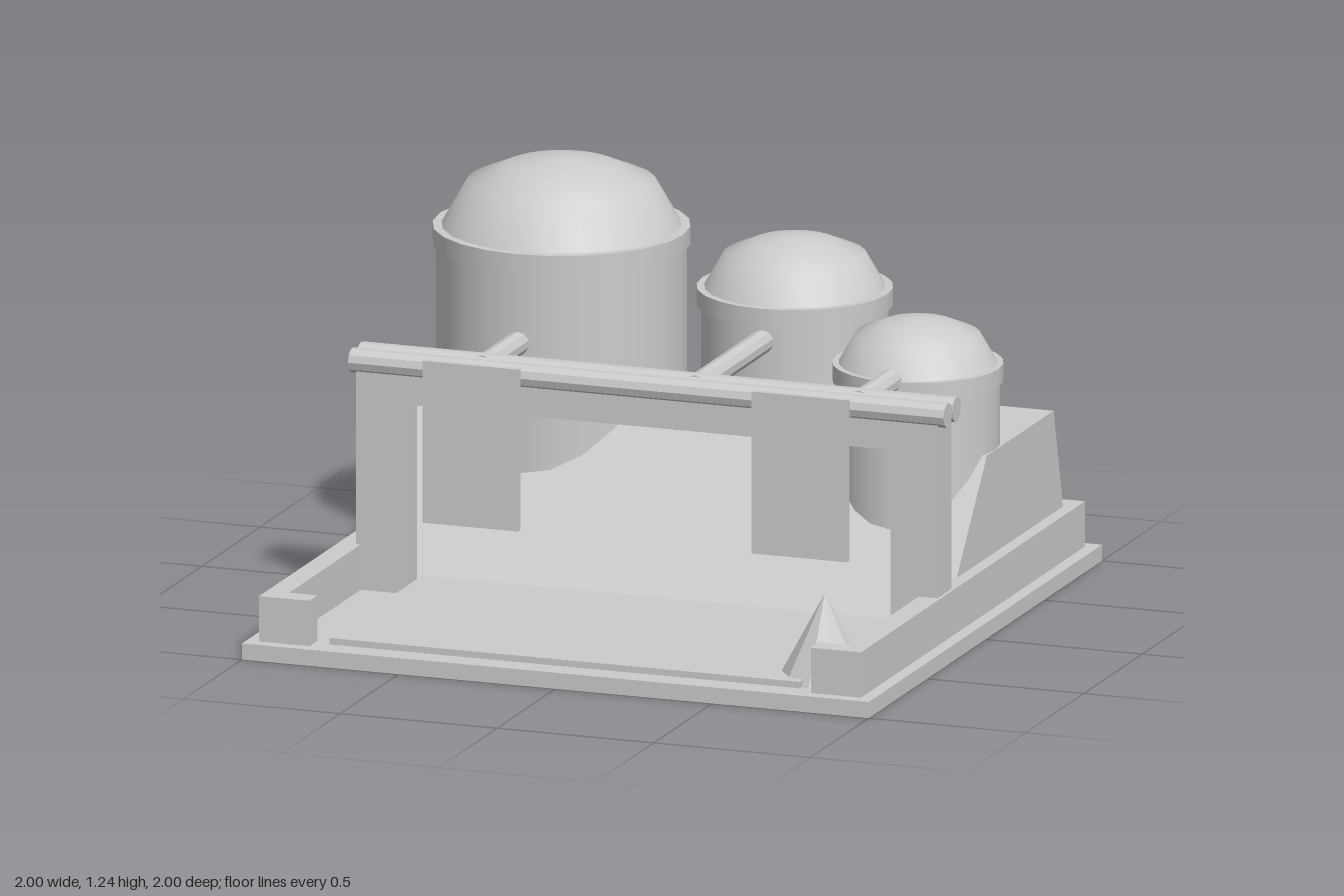
import * as THREE from 'three';

const concrete = new THREE.MeshStandardMaterial({ color: 0xcccccc });
concrete.name = 'pale concrete';
const concreteFlat = concrete; // faceted parts get their facets from split normals

function add(parent, name, geometry, x = 0, y = 0, z = 0) {
  const mesh = new THREE.Mesh(geometry, concrete);
  mesh.name = name;
  mesh.position.set(x, y, z);
  parent.add(mesh);
  return mesh;
}

// Box given by its limits
function block(parent, name, x0, x1, y0, y1, z0, z1) {
  return add(parent, name, new THREE.BoxGeometry(x1 - x0, y1 - y0, z1 - z0),
    (x0 + x1) / 2, (y0 + y1) / 2, (z0 + z1) / 2);
}

function extrude(points, depth) {
  const shape = new THREE.Shape(points.map(([x, y]) => new THREE.Vector2(x, y)));
  return new THREE.ExtrudeGeometry(shape, { depth, bevelEnabled: false });
}

function faceted(geometry) {
  const g = geometry.toNonIndexed();
  g.computeVertexNormals();
  return g;
}

// Storage tank: body, collar and shallow dome; s scales the dome
function tank(parent, name, x, z, body, collar, collarTop, s) {
  const group = new THREE.Group();
  group.name = name;
  group.position.set(x, 0, z);
  parent.add(group);
  const bottom = 0.06, top = collarTop - 0.03;
  add(group, 'tankBody', new THREE.CylinderGeometry(body, body, top - bottom, 24), 0, (top + bottom) / 2, 0);
  add(group, 'tankCollar', new THREE.CylinderGeometry(collar, collar, 0.055, 24), 0, collarTop - 0.0275, 0);
  const profile = [[0.36, 0], [0.283, 0.135], [0.16, 0.187], [0.05, 0.208], [0, 0.21]]
    .map(([r, y]) => new THREE.Vector2(r * s, y * s));
  add(group, 'tankDome', new THREE.LatheGeometry(profile, 24), 0, collarTop, 0);
}

export function createModel() {
  const model = new THREE.Group();
  model.name = 'tankYard';

  // Ground slab, low surrounding wall open at the front, floor panel
  block(model, 'slab', -1, 1, 0, 0.05, -1, 1);
  const wall = extrude([
    [-0.96, -0.96], [0.96, -0.96], [0.96, 0.96], [0.8, 0.96], [0.8, 0.89], [0.89, 0.89],
    [0.89, -0.89], [-0.89, -0.89], [-0.89, 0.89], [-0.8, 0.89], [-0.8, 0.96], [-0.96, 0.96],
  ], 0.14);
  wall.rotateX(Math.PI / 2);
  add(model, 'perimeterWall', wall, 0, 0.19, 0);
  block(model, 'floorPanel', -0.75, 0.75, 0.05, 0.07, 0, 0.92);

  // Sloped mound that carries the tanks
  const mound = extrude([[0.147, 0.05], [-0.227, 0.505], [-0.8, 0.505], [-0.916, 0.05]], 1.84);
  mound.rotateY(-Math.PI / 2);
  add(model, 'mound', mound, 0.92, 0, 0);

  // Three tanks
  tank(model, 'largeTank', -0.53, -0.477, 0.377, 0.387, 1.03, 1);
  tank(model, 'mediumTank', 0.148, -0.655, 0.282, 0.295, 0.857, 0.755);
  tank(model, 'smallTank', 0.672, -0.302, 0.246, 0.257, 0.755, 0.66);

  // Gate frame
  const gate = extrude([
    [-0.905, 0.05], [-0.755, 0.05], [-0.755, 0.635], [0.8, 0.635],
    [0.8, 0.05], [0.95, 0.05], [0.95, 0.73], [-0.905, 0.73],
  ], 0.12);
  add(model, 'gateFrame', gate, 0, 0, 0.157);

  // Twin pipes along the gate
  for (const z of [0.18, 0.255]) {
    const rail = faceted(new THREE.CylinderGeometry(0.038, 0.038, 1.9, 10));
    rail.rotateZ(Math.PI / 2);
    add(model, 'railPipe', rail, 0.025, 0.752, z);
  }

  // Feed pipes from each tank to the rail
  for (const [x, back] of [[-0.53, -0.2], [0.148, -0.45], [0.672, -0.15]]) {
    const feed = faceted(new THREE.CylinderGeometry(0.036, 0.036, 0.2 - back, 10));
    feed.rotateX(Math.PI / 2);
    add(model, 'feedPipe', feed, x, 0.752, (0.2 + back) / 2);
  }

  // Hanging panels in front of the gate
  for (const x of [-0.68, 0.37]) block(model, 'hangingPanel', x, x + 0.305, 0.285, 0.785, 0.293, 0.313);

  // Pointed marker in the front corner
  add(model, 'cone', faceted(new THREE.ConeGeometry(0.14, 0.26, 10)), 0.775, 0.18, 0.772);

  return model;
}
